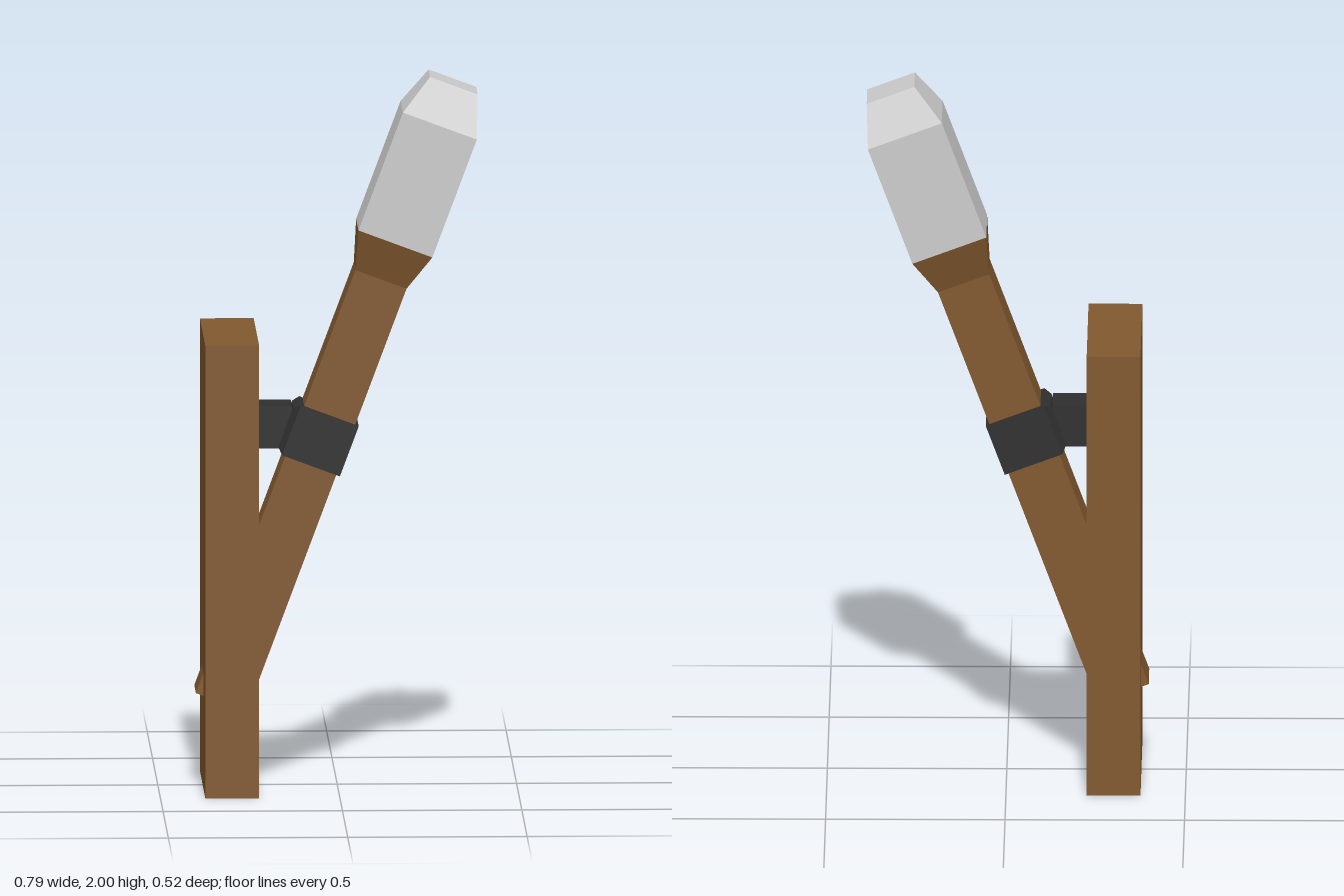
import * as THREE from 'three';

const makeMaterial = (color) => new THREE.MeshStandardMaterial({ color, flatShading: true });

function addPart(parent, name, geometry, material, x = 0, y = 0, z = 0) {
  const mesh = new THREE.Mesh(geometry, material);
  mesh.name = name;
  mesh.position.set(x, y, z);
  parent.add(mesh);
  return mesh;
}

// Four-sided solid from [half width, height] pairs, sides aligned with x and z
function squareLoft(profile) {
  const points = profile.map(([half, y]) => new THREE.Vector2(half * Math.SQRT2, y));
  return new THREE.LatheGeometry(points, 4, Math.PI / 4).toNonIndexed();
}

export function createModel() {
  const model = new THREE.Group();
  model.name = 'wallTorch';
  const wood = makeMaterial(0x81592f);
  const iron = makeMaterial(0x2f2f2f);
  const grey = makeMaterial(0xcccccc);

  // Upright board and the bracket reaching out from it
  addPart(model, 'backBoard', new THREE.BoxGeometry(0.15, 1.275, 0.52), wood, -0.3, 0.6375, 0);
  addPart(model, 'bracketArm', new THREE.BoxGeometry(0.1, 0.12, 0.12), iron, -0.178, 1.015, 0);

  // Leaning torch, its foot poking through the board
  const torch = new THREE.Group();
  torch.name = 'torch';
  torch.position.set(-0.325, 0.243, 0);
  torch.rotation.z = -THREE.MathUtils.degToRad(20.5);
  model.add(torch);

  // Shaft with flared socket
  addPart(torch, 'handle', squareLoft([[0, 0], [0.076, 0], [0.076, 1.27], [0.11, 1.382]]), wood);
  // Head with tapered tip
  addPart(torch, 'torchHead', squareLoft([[0.11, 1.382], [0.11, 1.736], [0.071, 1.851], [0, 1.851]]), grey);

  // Clamp around the shaft
  addPart(torch, 'clamp', new THREE.BoxGeometry(0.172, 0.15, 0.174), iron, 0, 0.787, 0);

  // Thin plate narrowing from the clamp towards the bracket
  const plate = new THREE.BoxGeometry(0.016, 0.15, 0.174);
  const pos = plate.attributes.position;
  for (let i = 0; i < pos.count; i++) {
    if (pos.getX(i) < 0) {
      pos.setY(i, Math.sign(pos.getY(i)) * 0.06);
      pos.setZ(i, Math.sign(pos.getZ(i)) * 0.06);
    }
  }
  plate.computeVertexNormals();
  addPart(torch, 'clampPlate', plate, iron, -0.094, 0.787, 0);

  return model;
}
